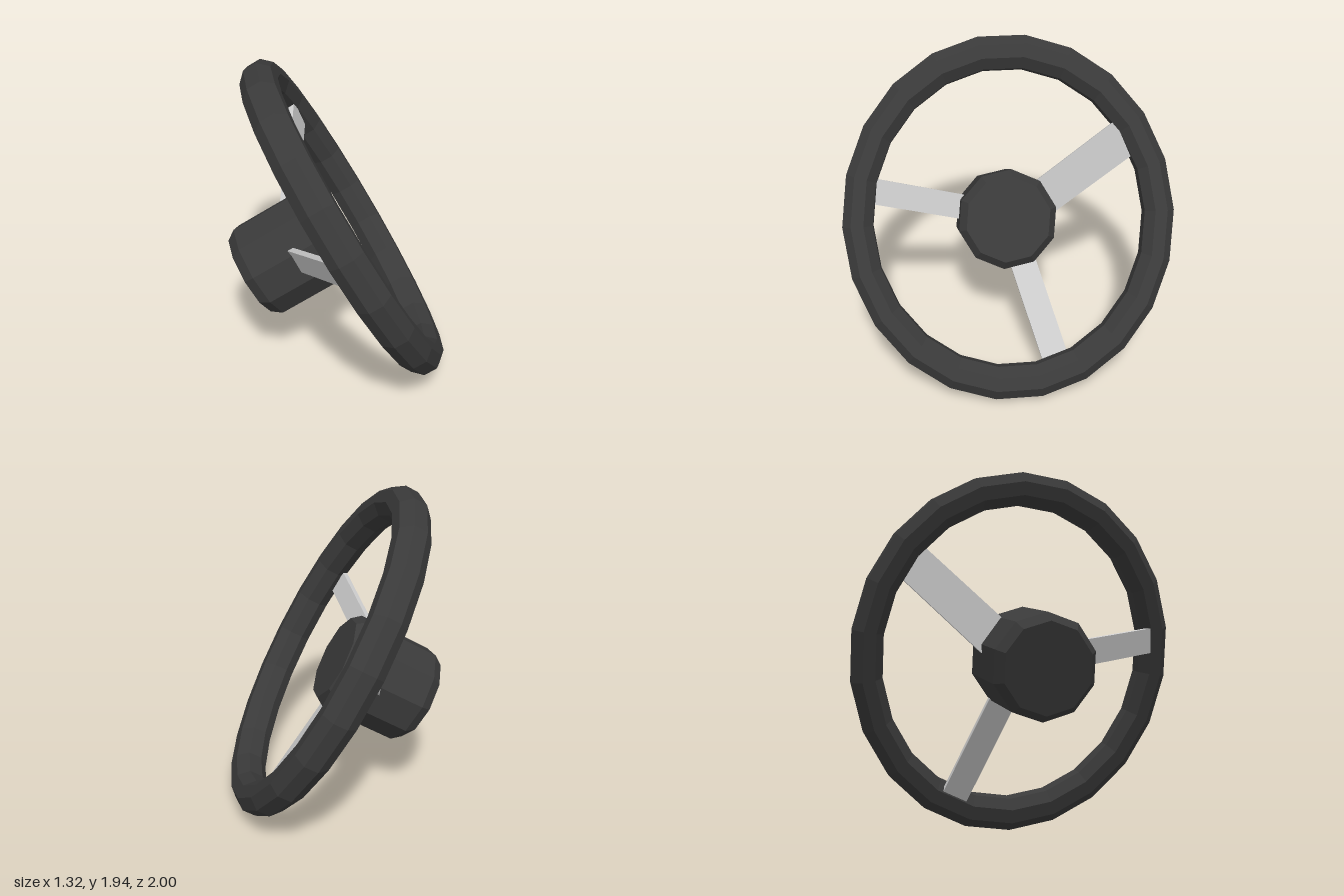
import * as THREE from 'three';

const dark = new THREE.MeshStandardMaterial({ color: 0x3a3a3a, flatShading: true });
const grey = new THREE.MeshStandardMaterial({ color: 0xcccccc, flatShading: true });

// Faceted solid turned around the wheel's axis (local x)
function turned(name, points, sides, phase = 0) {
  const profile = points.map(([r, a]) => new THREE.Vector2(r, a));
  const geometry = new THREE.LatheGeometry(profile, sides, phase).rotateZ(-Math.PI / 2);
  const mesh = new THREE.Mesh(geometry, dark);
  mesh.name = name;
  return mesh;
}

// Flat bar between two points, its width lying in the plane of the wheel
function spoke(name, from, to, width) {
  const a = new THREE.Vector3(...from), b = new THREE.Vector3(...to);
  const along = b.clone().sub(a);
  const mesh = new THREE.Mesh(new THREE.BoxGeometry(along.length(), width, 0.035), grey);
  along.normalize();
  const across = new THREE.Vector3(1, 0, 0).cross(along).normalize();
  const normal = along.clone().cross(across);
  mesh.quaternion.setFromRotationMatrix(new THREE.Matrix4().makeBasis(along, across, normal));
  mesh.position.copy(a).add(b).multiplyScalar(0.5);
  mesh.name = name;
  return mesh;
}

export function createModel() {
  const group = new THREE.Group();
  group.name = 'steeringWheel';

  // Tilted assembly: local x is the wheel's axis, local y runs up its plane
  const wheel = new THREE.Group();
  wheel.name = 'tiltedWheel';
  wheel.position.set(0.05, 0.98, 0);
  wheel.rotation.z = THREE.MathUtils.degToRad(29.5);
  group.add(wheel);

  // Rim with an octagonal section, slightly taller than wide
  const section = [];
  for (let i = 0; i <= 8; i++) {
    const t = ((i + 0.5) / 8) * Math.PI * 2;
    section.push([0.91 + 0.0975 * Math.cos(t), 0.0975 * Math.sin(t)]);
  }
  const rim = turned('rim', section, 22);
  rim.scale.set(1.15, 1.1, 1);
  wheel.add(rim);

  // Ten-sided hub with chamfered ends
  const hub = turned('hub', [
    [0, -0.685], [0.265, -0.685], [0.31, -0.62],
    [0.31, -0.14], [0.265, -0.08], [0, -0.08],
  ], 10, 0.19);
  hub.position.y = -0.015;
  wheel.add(hub);

  // Three spokes from the hub forward to the rim
  wheel.add(
    spoke('upperSpoke', [-0.35, 0.065, -0.2], [0.045, 0.479, -0.753], 0.23),
    spoke('sideSpoke', [-0.38, 0.05, 0.19], [-0.076, 0.213, 0.857], 0.155),
    spoke('lowerSpoke', [-0.19, -0.2, -0.06], [-0.075, -0.92, -0.255], 0.16),
  );
  return group;
}
